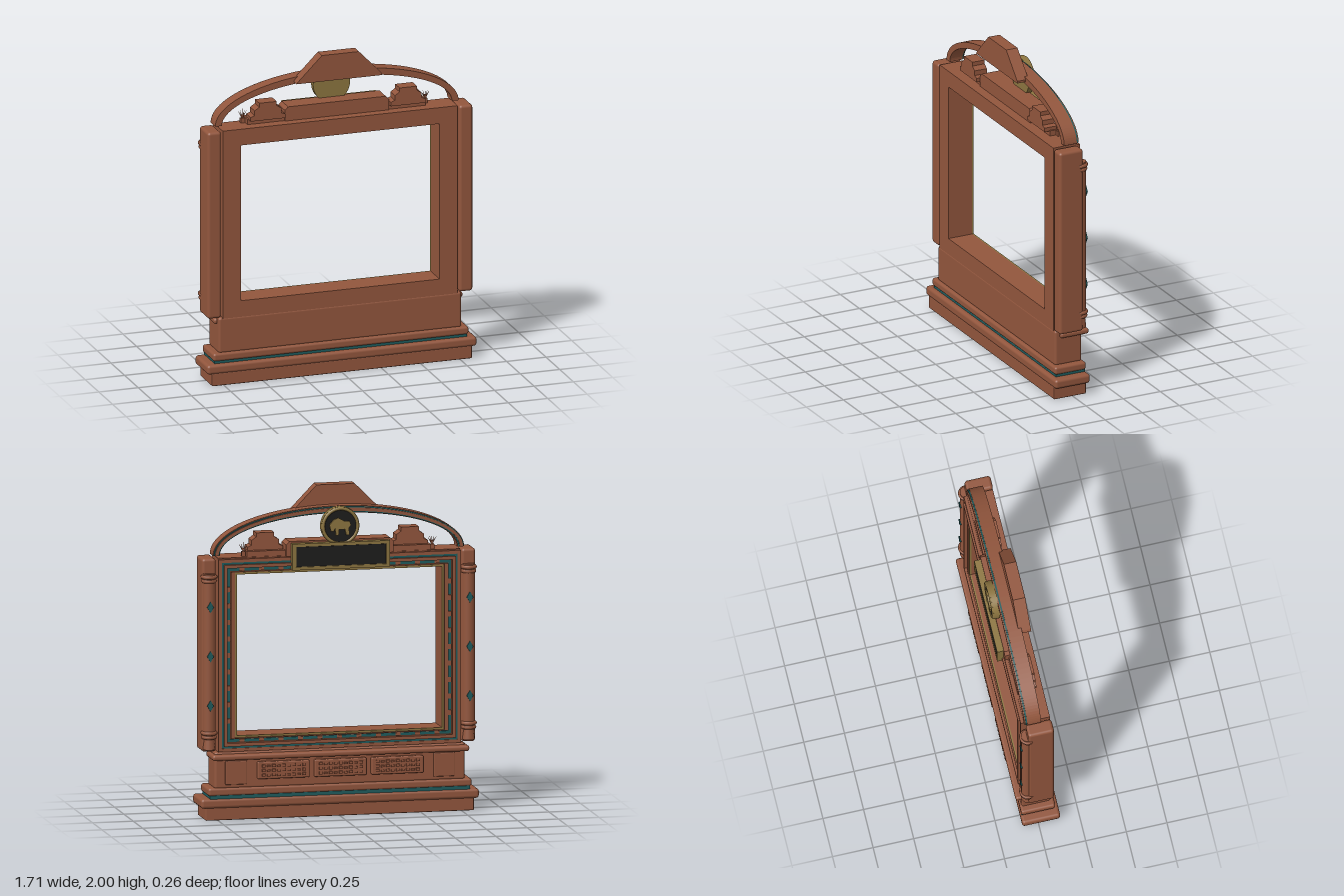
import * as THREE from 'three';
import { RoundedBoxGeometry } from 'three/addons/geometries/RoundedBoxGeometry.js';

const paint = (name, color) => {
  const m = new THREE.MeshStandardMaterial({ color });
  m.name = name;
  return m;
};

export function createModel() {
  const wood = paint('terracotta wood', 0x92563d);
  const teal = paint('teal inlay', 0x1f5c5e);
  const gold = paint('old gold', 0x8c7540);
  const black = paint('black panel', 0x1d1c1b);

  const model = new THREE.Group();
  model.name = 'ornateFrame';

  const add = (name, geometry, material, x = 0, y = 0, z = 0) => {
    const mesh = new THREE.Mesh(geometry, material);
    mesh.name = name;
    mesh.position.set(x, y, z);
    model.add(mesh);
    return mesh;
  };
  // Box given by centre x, width, and its y and z limits; r rounds the edges
  const box = (name, material, x, w, y0, y1, z0, z1, r = 0) => add(name,
    r ? new RoundedBoxGeometry(w, y1 - y0, z1 - z0, 3, r) : new THREE.BoxGeometry(w, y1 - y0, z1 - z0),
    material, x, (y0 + y1) / 2, (z0 + z1) / 2);
  const slab = (name, material, shape, z0, z1, x = 0, y = 0) => add(name,
    new THREE.ExtrudeGeometry(shape, { depth: z1 - z0, bevelEnabled: false, curveSegments: 32 }),
    material, x, y, z0);
  const poly = (pts) => new THREE.Shape(pts.map(([x, y]) => new THREE.Vector2(x, y)));
  // Rectangular ring around the opening, from half sizes
  const ring = (name, material, w, h, iw, ih, z0, z1) => {
    const shape = poly([[-w, -h], [w, -h], [w, h], [-w, h]]);
    shape.holes.push(poly([[-iw, -ih], [-iw, ih], [iw, ih], [iw, -ih]]));
    return slab(name, material, shape, z0, z1, 0, 1.0);
  };

  // Stepped base
  box('baseBlock', wood, 0, 1.65, 0, 0.08, -0.09, 0.125, 0.006);
  box('basePlinth', wood, 0, 1.71, 0.075, 0.133, -0.105, 0.13, 0.018);
  box('baseInlay', teal, 0, 1.6, 0.13, 0.152, -0.096, 0.1);
  box('baseStep', wood, 0, 1.62, 0.148, 0.197, -0.1, 0.11, 0.015);
  box('pedestal', wood, 0, 1.54, 0.19, 0.414, -0.09, 0.09, 0.015);
  box('ledge', wood, 0, 1.58, 0.367, 0.402, -0.13, 0.06, 0.015);

  // Carved panels on the pedestal
  for (const x of [-0.35, 0, 0.35]) {
    box('carvedPanel', wood, x, 0.32, 0.245, 0.35, -0.115, -0.08, 0.008);
    for (let row = 0; row < 3; row++) {
      for (let i = 0; i < 9; i++) {
        const y = 0.27 + row * 0.028;
        box('panelRelief', wood, x - 0.124 + i * 0.031, 0.02, y - 0.008, y + 0.008 - (i % 2) * 0.005, -0.124, -0.11);
      }
    }
  }
  for (const s of [-1, 1]) box('cornerPanel', wood, s * 0.64, 0.13, 0.215, 0.36, -0.1, -0.08, 0.006);

  // Main frame and its layered trim
  ring('mainFrame', wood, 0.745, 0.592, 0.63, 0.49, -0.07, 0.09);
  ring('outerMoulding', wood, 0.745, 0.585, 0.725, 0.565, -0.09, -0.07);
  ring('outerInlay', teal, 0.725, 0.565, 0.712, 0.552, -0.084, -0.07);
  ring('middleMoulding', wood, 0.712, 0.552, 0.692, 0.532, -0.1, -0.07);
  ring('innerInlay', teal, 0.688, 0.528, 0.672, 0.512, -0.076, -0.07);
  ring('innerMoulding', wood, 0.668, 0.508, 0.645, 0.504, -0.088, -0.07);
  ring('goldEdge', gold, 0.642, 0.502, 0.63, 0.49, -0.08, -0.07);
  // Blocks crossing the inner inlay
  for (const s of [-1, 1]) {
    for (let i = -5; i <= 5; i++) {
      box('inlayStud', wood, i * 0.12, 0.03, 1 + s * 0.52 - 0.009, 1 + s * 0.52 + 0.009, -0.083, -0.07);
      if (Math.abs(i) < 5) box('inlayStud', wood, s * 0.68, 0.018, 0.985 + i * 0.1, 1.015 + i * 0.1, -0.083, -0.07);
    }
  }

  // Side pillars with engaged columns, collars and diamonds
  const diamond = poly([[-0.02, 0], [0, -0.034], [0.02, 0], [0, 0.034]]);
  for (const s of [-1, 1]) {
    const x = s * 0.798;
    box('pillar', wood, x, 0.086, 0.415, 1.59, -0.065, 0.095, 0.018);
    add('column', new THREE.CylinderGeometry(0.038, 0.038, 1.0, 24), wood, x, 1.0, -0.062);
    for (const [y, r] of [[0.53, 0.043], [0.505, 0.039], [1.48, 0.043], [1.455, 0.039]]) {
      const collar = add('columnCollar', new THREE.TorusGeometry(r - 0.004, 0.012, 8, 24), wood, x, y, -0.06);
      collar.rotation.x = Math.PI / 2;
    }
    add('columnFoot', new THREE.CylinderGeometry(0.03, 0.038, 0.07, 20), wood, x, 0.465, -0.062);
    for (const y of [0.7, 1.0, 1.3]) slab('diamond', teal, diamond, -0.105, -0.096, x, y);
  }

  // Arch with a teal band and a rear moulding
  const arch = (a, b, ia, ib) => {
    const shape = new THREE.Shape();
    shape.moveTo(a, 0);
    shape.absellipse(0, 0, a, b, 0, Math.PI, false);
    shape.lineTo(-ia, 0);
    shape.absellipse(0, 0, ia, ib, Math.PI, 0, true);
    shape.closePath();
    return shape;
  };
  slab('arch', wood, arch(0.772, 0.275, 0.73, 0.232), -0.055, 0.03, 0, 1.605);
  slab('archInlay', teal, arch(0.768, 0.271, 0.734, 0.236), -0.064, -0.055, 0, 1.605);
  slab('archMoulding', wood, arch(0.762, 0.265, 0.742, 0.244), -0.072, -0.064, 0, 1.605);
  slab('crown', wood, poly([[-0.275, 1.836], [0.265, 1.836], [0.265, 1.85], [0.12, 2], [-0.115, 2], [-0.265, 1.85]]), 0.01, 0.086);

  // Block above the frame
  slab('topBlock', wood, poly([[-0.33, 1.59], [0.33, 1.59], [0.33, 1.66], [0.31, 1.68], [-0.31, 1.68], [-0.33, 1.66]]), -0.09, 0.03);

  // Stepped side ornaments with tufts of blades
  const steps = poly([[-0.11, 0], [0.11, 0], [0.11, 0.025], [0.085, 0.035], [0.085, 0.065], [0.055, 0.085],
    [0.055, 0.11], [-0.055, 0.11], [-0.055, 0.085], [-0.085, 0.065], [-0.085, 0.035], [-0.11, 0.025]]);
  for (const s of [-1, 1]) {
    slab('steppedOrnament', wood, steps, -0.03, 0.052, s * 0.445, 1.62);
    box('ornamentFoot', wood, s * 0.445, 0.24, 1.585, 1.625, -0.065, 0.02);
    for (let i = -2; i <= 2; i++) {
      const blade = add('tuftBlade', new THREE.ConeGeometry(0.005, 0.07 - Math.abs(i) * 0.007, 5), wood,
        s * 0.58 + i * 0.007, 1.645, -0.03);
      blade.rotation.z = -i * 0.28;
    }
    box('tuftFoot', wood, s * 0.58, 0.025, 1.59, 1.622, -0.04, -0.02);
  }

  // Sign plate with a blank panel
  box('signPlate', gold, 0, 0.6, 1.51, 1.67, -0.122, -0.085);
  box('signPanel', black, 0, 0.55, 1.53, 1.65, -0.126, -0.12);
  const rim = poly([[-0.3, 1.51], [0.3, 1.51], [0.3, 1.67], [-0.3, 1.67]]);
  rim.holes.push(poly([[-0.278, 1.528], [-0.278, 1.652], [0.278, 1.652], [0.278, 1.528]]));
  slab('signRim', gold, rim, -0.13, -0.12);

  // Round medallion with a simple animal relief
  const disc = (name, r, z0, z1, material) => {
    add(name, new THREE.CylinderGeometry(r, r, z1 - z0, 40), material, 0, 1.765, (z0 + z1) / 2).rotation.x = Math.PI / 2;
  };
  disc('medallion', 0.117, -0.105, -0.068, gold);
  disc('medallionFace', 0.096, -0.11, -0.104, black);
  add('medallionRim', new THREE.TorusGeometry(0.106, 0.01, 8, 40), gold, 0, 1.765, -0.105);
  slab('animalRelief', gold, poly([[0.07, 0.01], [0.06, -0.03], [0.045, -0.03], [0.035, -0.012], [0.03, -0.055],
    [0.014, -0.055], [0.012, -0.02], [-0.025, -0.018], [-0.034, -0.055], [-0.052, -0.055], [-0.05, -0.01],
    [-0.062, 0.005], [-0.055, 0.028], [-0.02, 0.032], [0.015, 0.052], [0.045, 0.04]]), -0.12, -0.108, 0, 1.765);

  return model;
}
